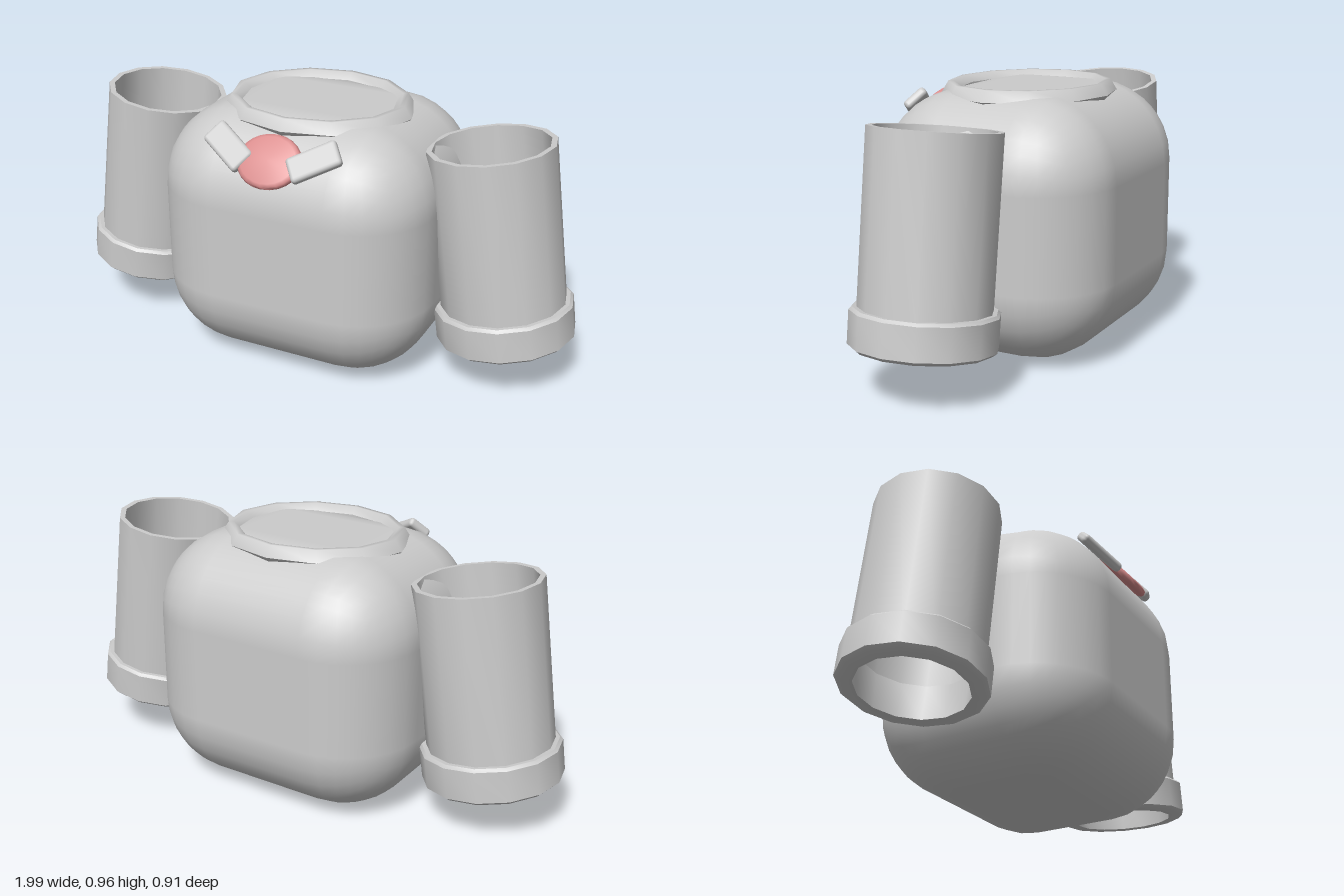
import * as THREE from 'three';
import { RoundedBoxGeometry } from 'three/addons/geometries/RoundedBoxGeometry.js';
import { toCreasedNormals } from 'three/addons/utils/BufferGeometryUtils.js';

const cloth = new THREE.MeshStandardMaterial({ color: 0xcccccc });
const red = new THREE.MeshStandardMaterial({ color: 0xd98c8c });

// Named mesh added to a parent
function add(parent, name, geometry, material = cloth) {
  const mesh = new THREE.Mesh(geometry, material);
  mesh.name = name;
  parent.add(mesh);
  return mesh;
}

// Closed ring or disc from [radius, height] pairs, listed upwards along the outside
function lathe(points, sides, crease = 0.7) {
  const profile = points.map(([r, y]) => new THREE.Vector2(r, y));
  return toCreasedNormals(new THREE.LatheGeometry(profile, sides), crease);
}

// Hollow sleeve with a thicker cuff, leaning outwards; side is +1 or -1
function addSleeve(parent, side) {
  const sleeve = new THREE.Group();
  sleeve.name = side > 0 ? 'leftSleeve' : 'rightSleeve';
  sleeve.position.set(side * 0.75, 0.165, 0);
  sleeve.rotation.z = side * 0.14;
  parent.add(sleeve);

  const tube = lathe([[0.205, 0.06], [0.225, 0.06], [0.225, 0.72], [0.205, 0.72], [0.205, 0.06]], 14);
  add(sleeve, 'sleeveTube', tube).rotation.y = Math.PI / 2;

  const cuff = lathe([[0.19, 0], [0.235, 0], [0.25, 0.012], [0.25, 0.125], [0.24, 0.135], [0.2, 0.135], [0.19, 0]], 14);
  add(sleeve, 'cuff', cuff).rotation.y = Math.PI / 2;
}

export function createModel() {
  const model = new THREE.Group();
  model.name = 'shirt';

  // Rounded torso
  add(model, 'torso', new RoundedBoxGeometry(1.04, 0.945, 0.89, 4, 0.3)).position.set(0, 0.4725, -0.003);

  // Oval neckband
  const neck = lathe([[0.79, 0.9], [0.95, 0.9], [1, 0.92], [0.925, 0.96], [0.87, 0.96], [0.79, 0.935], [0.79, 0.9]], 12, 1.0);
  add(model, 'neckband', neck.scale(0.355, 1, 0.31));

  for (const side of [1, -1]) addSleeve(model, side);

  // Collar front, lying on the sloping chest
  const collar = new THREE.Group();
  collar.name = 'collarFront';
  collar.position.set(0, 0.843, 0.393);
  collar.rotation.x = -0.71;
  model.add(collar);

  const knot = lathe([[0, -0.022], [0.085, -0.022], [0.097, -0.015], [0.1, -0.005], [0.096, 0.006], [0.085, 0.011], [0, 0.013]], 24, 1.0);
  knot.rotateX(Math.PI / 2).scale(1.2, 1, 1);
  add(collar, 'knot', knot, red);

  // Collar tabs
  for (const side of [1, -1]) {
    const tab = add(collar, side > 0 ? 'leftTab' : 'rightTab', new RoundedBoxGeometry(0.185, 0.095, 0.036, 2, 0.014));
    tab.position.set(side * 0.163, 0.025, 0.002);
    tab.rotation.z = side * 0.58;
  }

  return model;
}
